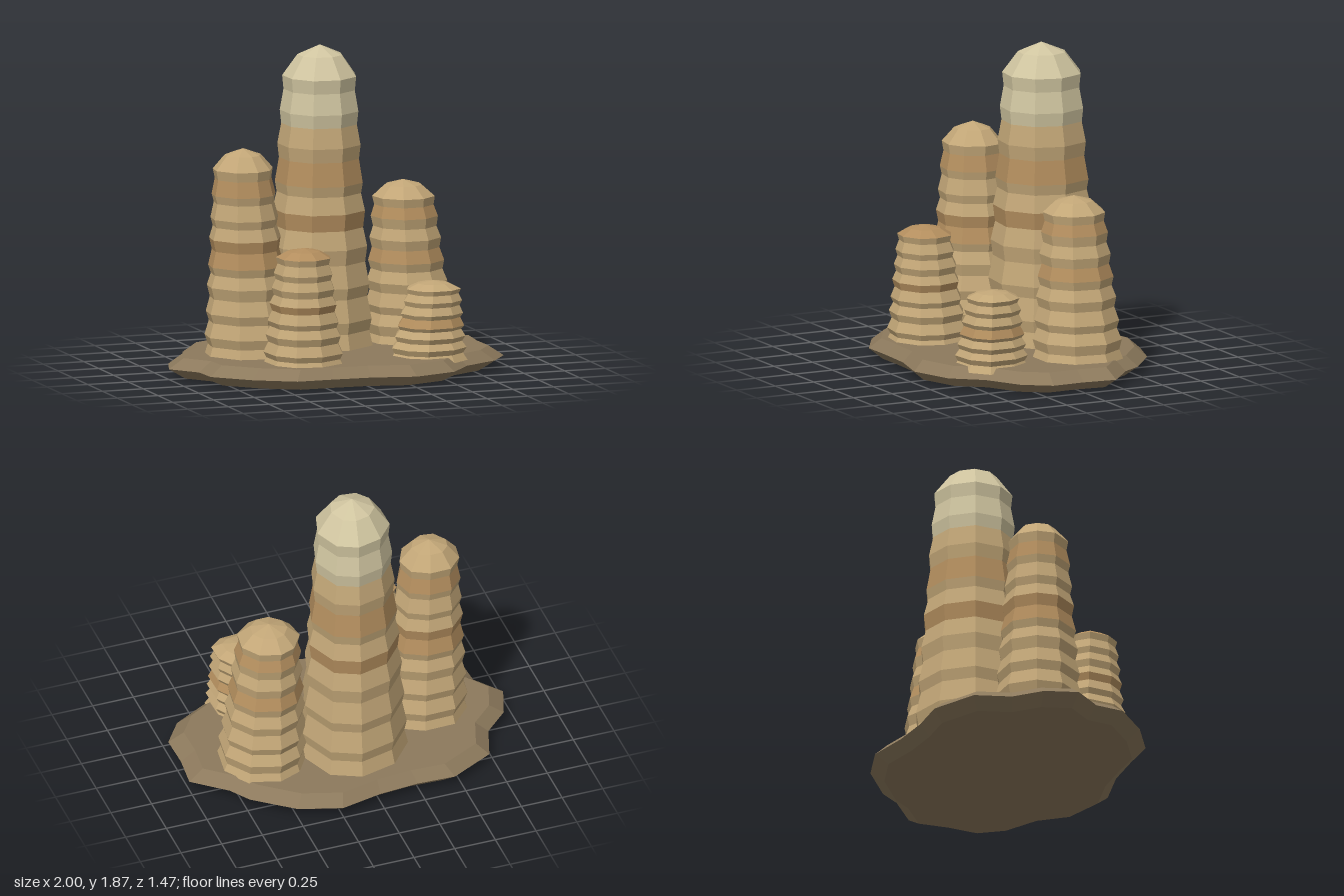
import * as THREE from 'three';

const mat = (color) => new THREE.MeshStandardMaterial({ color, flatShading: true });
const TAN = mat(0xc2a677), PALE = mat(0xd0c5a0), RUST = mat(0xb38e5e), EARTH = mat(0x8c795c);

// small seeded random source, returns -1..1
function seeded(seed) {
  let s = seed * 7919 + 17;
  return () => {
    s = (s * 16807) % 2147483647;
    return (s / 2147483647) * 2 - 1;
  };
}

// Lathe a [radius, y] profile, then let place(side, radius, y) move every vertex
function warpedLathe(profile, sides, place) {
  const geo = new THREE.LatheGeometry(profile.map(([r, y]) => new THREE.Vector2(r, y)), sides);
  const pos = geo.attributes.position;
  for (let i = 0; i < pos.count; i++) {
    const [r, y] = profile[i % profile.length];
    const side = Math.floor(i / profile.length) % sides;
    pos.setXYZ(i, ...place(side, r, y));
  }
  geo.computeVertexNormals();
  return geo;
}

// Irregular rocky slab: widest at mid height
function makeSlab() {
  const outline = [
    [0, 0.67], [0.26, 0.73], [0.52, 0.645], [0.66, 0.475], [0.875, 0.355], [0.985, 0.2],
    [0.98, 0], [1, -0.2], [0.81, -0.36], [0.73, -0.48], [0.5, -0.66], [0.25, -0.74],
    [0, -0.685], [-0.235, -0.665], [-0.46, -0.675], [-0.72, -0.54], [-0.79, -0.33], [-0.935, -0.19],
    [-1, 0], [-0.875, 0.165], [-0.865, 0.335], [-0.675, 0.525], [-0.45, 0.66], [-0.235, 0.66],
  ];
  const profile = [[0, 0], [0.9, 0], [1, 0.06], [0.91, 0.12], [0, 0.12]];
  const geo = warpedLathe(profile, outline.length,
    (side, r, y) => [outline[side][0] * r, y, outline[side][1] * r]);
  const slab = new THREE.Mesh(geo, EARTH);
  slab.name = 'rockSlab';
  return slab;
}

// Ribbed column: bulging rings with pinches between them and a domed tip
function makeStalagmite(o) {
  const group = new THREE.Group();
  group.name = o.name;
  const rand = seeded(o.seed);
  const bottom = 0.09, sides = 9;
  const step = (o.shoulder - bottom) / o.ribs;
  const radiusAt = (t) => THREE.MathUtils.lerp(o.r0, o.r1, t);

  const rings = [];
  for (let k = 0; k <= o.ribs; k++) {
    const t = k / o.ribs;
    const y = bottom + step * k;
    const wobble = k > 0 && k < o.ribs ? rand() * step * 0.1 : 0;
    rings.push([radiusAt(t), y + wobble]);
    if (k < o.ribs) rings.push([radiusAt(t + 0.6 / o.ribs) * o.pinch, y + step * 0.6]);
  }
  const rise = o.height - o.shoulder;
  rings.push([o.r1 * 0.6, o.shoulder + rise * 0.68], [0, o.height]);

  // uneven sides shared by all rings keep the facets running up the column
  const angle = [], scale = [];
  for (let i = 0; i < sides; i++) {
    angle.push(((i + o.turn + rand() * 0.12) / sides) * Math.PI * 2);
    scale.push(1.01 + rand() * 0.05);
  }
  const place = (side, r, y) => {
    const t = (y - bottom) / (o.height - bottom);
    const x = THREE.MathUtils.lerp(o.base[0], o.tip[0], t);
    const z = THREE.MathUtils.lerp(o.base[1], o.tip[1], t);
    const d = r * scale[side];
    return [x + Math.sin(angle[side]) * d, y, z + Math.cos(angle[side]) * d];
  };

  // split the column into colour bands
  const colourOf = (i) => {
    const y = (rings[i][1] + rings[i + 1][1]) / 2;
    if (y > (o.paleFrom ?? Infinity)) return PALE;
    return o.rust.some(([a, b]) => y > a && y < b) ? RUST : TAN;
  };
  const names = new Map([[TAN, 'ribbedShaft'], [PALE, 'paleCrown'], [RUST, 'rustBand']]);
  for (let start = 0; start < rings.length - 1;) {
    const colour = colourOf(start);
    let end = start + 1;
    while (end < rings.length - 1 && colourOf(end) === colour) end++;
    const mesh = new THREE.Mesh(warpedLathe(rings.slice(start, end + 1), sides, place), colour);
    mesh.name = names.get(colour);
    group.add(mesh);
    start = end;
  }
  return group;
}

export function createModel() {
  const model = new THREE.Group();
  model.name = 'stalagmiteCluster';
  model.add(makeSlab());

  const columns = [
    { name: 'tallStalagmite', seed: 3, base: [0.01, -0.235], tip: [0.01, -0.225], height: 1.87, shoulder: 1.69,
      r0: 0.33, r1: 0.22, ribs: 8, pinch: 0.94, turn: 0.35, paleFrom: 1.38, rust: [[1.1, 1.21], [0.8, 0.9]] },
    { name: 'leftBackStalagmite', seed: 8, base: [-0.485, -0.04], tip: [-0.525, -0.055], height: 1.32, shoulder: 1.2,
      r0: 0.265, r1: 0.175, ribs: 8, pinch: 0.92, turn: 0.1, rust: [[1.08, 1.17], [0.68, 0.78]] },
    { name: 'rightBackStalagmite', seed: 14, base: [0.55, -0.185], tip: [0.505, -0.18], height: 1.06, shoulder: 0.965,
      r0: 0.27, r1: 0.18, ribs: 7, pinch: 0.92, turn: 0.5, rust: [[0.84, 0.9], [0.57, 0.64]] },
    { name: 'leftFrontStalagmite', seed: 21, base: [-0.295, 0.36], tip: [-0.305, 0.375], height: 0.79, shoulder: 0.735,
      r0: 0.24, r1: 0.157, ribs: 7, pinch: 0.91, turn: 0.25, rust: [[0.73, 0.8], [0.42, 0.48]] },
    { name: 'rightFrontStalagmite', seed: 30, base: [0.46, 0.34], tip: [0.5, 0.345], height: 0.55, shoulder: 0.505,
      r0: 0.225, r1: 0.155, ribs: 6, pinch: 0.9, turn: 0.6, rust: [[0.3, 0.34]] },
  ];
  columns.forEach((c) => model.add(makeStalagmite(c)));
  return model;
}
